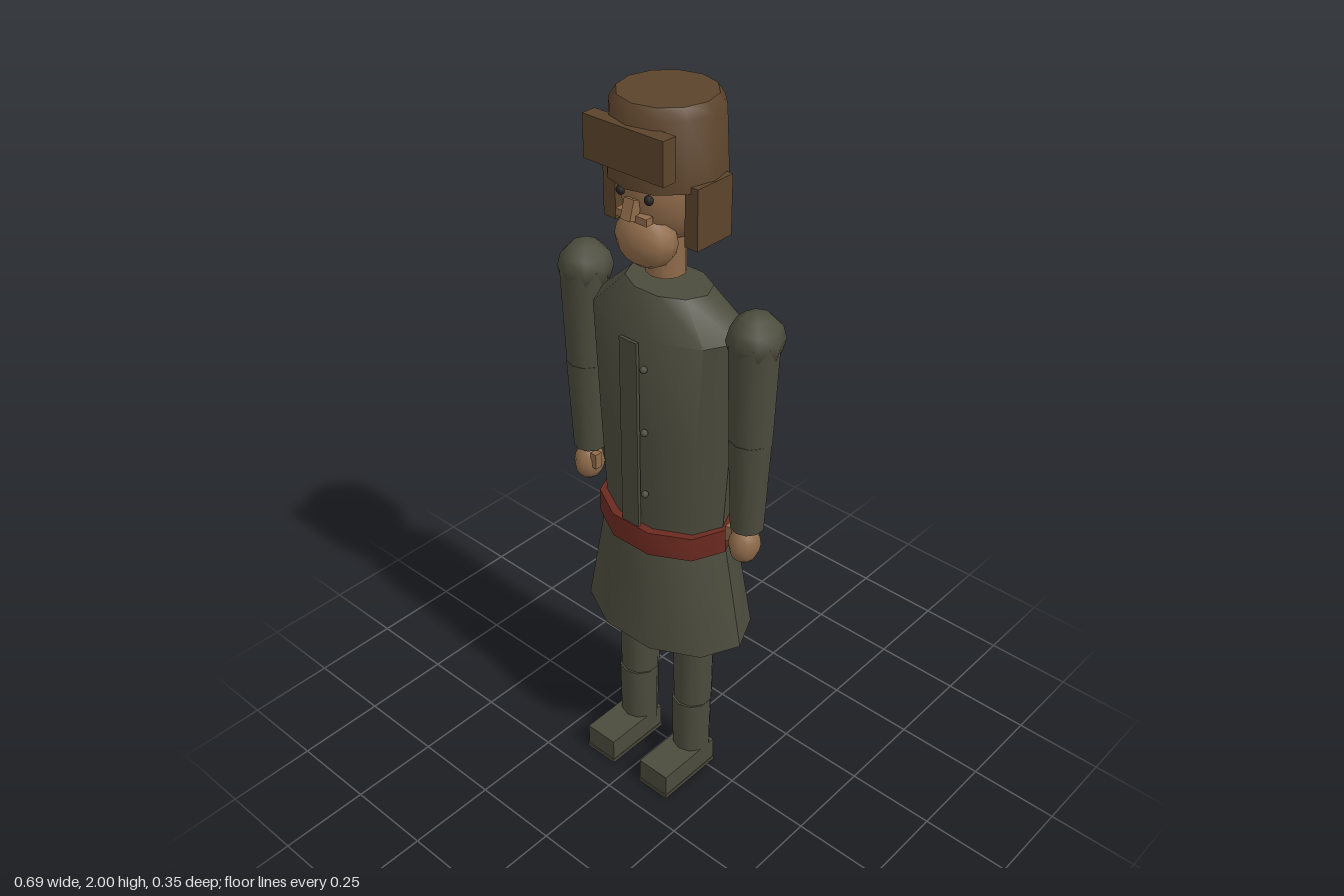
import * as THREE from 'three';
import { toCreasedNormals } from 'three/addons/utils/BufferGeometryUtils.js';

const material = (name, color, side = THREE.FrontSide) => {
  const m = new THREE.MeshStandardMaterial({ color, side });
  m.name = name;
  return m;
};

export function createModel() {
  const coat = material('coat green', 0x4b4b3d, THREE.DoubleSide);
  const fur = material('hat brown', 0x5c442c);
  const belt = material('belt red', 0x6b2a20);
  const skin = material('skin', 0x8f6b4a);
  const dark = material('eye dark', 0x25221f);
  const model = new THREE.Group();

  const add = (name, geometry, mat, x = 0, y = 0, z = 0) => {
    const mesh = new THREE.Mesh(geometry, mat);
    mesh.name = name;
    mesh.position.set(x, y, z);
    model.add(mesh);
    return mesh;
  };
  const box = (w, h, d) => new THREE.BoxGeometry(w, h, d);
  const ellipsoid = (rx, ry, rz, w = 12, h = 8) => new THREE.SphereGeometry(1, w, h).scale(rx, ry, rz);

  // Stacked elliptical rings [y, rx, rz], listed from bottom to top
  const loft = (rings, sides, start = Math.PI / 2) => {
    const g = new THREE.LatheGeometry(rings.map(([y]) => new THREE.Vector2(1, y)), sides, start);
    const p = g.attributes.position;
    for (let i = 0; i < p.count; i++) {
      const [, rx, rz] = rings[i % rings.length];
      p.setXYZ(i, p.getX(i) * rx, p.getY(i), p.getZ(i) * rz);
    }
    return toCreasedNormals(g, 0.75);
  };

  // Coat: torso with sloping shoulders, flared open skirt, belt
  add('coatBody', loft([
    [0.84, 0.183, 0.132], [1.15, 0.202, 0.136], [1.44, 0.22, 0.137],
    [1.53, 0.12, 0.085], [1.53, 0, 0],
  ], 10), coat, 0, 0, -0.005);
  add('coatSkirt', loft([[0.515, 0.253, 0.177], [0.84, 0.19, 0.14]], 10), coat, 0, 0, -0.008);
  add('belt', loft([
    [0.815, 0.17, 0.12], [0.815, 0.2, 0.15], [0.885, 0.2, 0.15], [0.885, 0.17, 0.12],
  ], 10), belt);
  add('frontPlacket', box(0.056, 0.56, 0.009), coat, -0.002, 1.145, 0.135);
  for (const y of [0.995, 1.18, 1.36]) {
    add('button', ellipsoid(0.01, 0.01, 0.01, 8, 6), coat, 0.045, y, 0.135);
  }

  // Head
  add('neck', new THREE.CylinderGeometry(0.05, 0.05, 0.14, 10), skin, 0, 1.63, 0.005);
  add('head', ellipsoid(0.108, 0.15, 0.125), skin, 0, 1.79, -0.006);
  add('jaw', ellipsoid(0.085, 0.07, 0.058), skin, 0, 1.667, 0.073);
  add('nose', box(0.03, 0.05, 0.028), skin, 0, 1.755, 0.122).rotation.x = -0.3;
  add('moustache', box(0.095, 0.018, 0.022), skin, 0, 1.735, 0.112);

  // Fur hat with a turned-up front flap
  add('hatCrown', loft([
    [1.81, 0, 0], [1.81, 0.142, 0.142], [1.975, 0.134, 0.134], [2, 0.117, 0.117], [2, 0, 0],
  ], 12, 0), fur);
  add('hatFrontFlap', box(0.24, 0.105, 0.04), fur, 0, 1.903, 0.127);

  // Mirrored parts
  for (const s of [1, -1]) {
    add('eye', ellipsoid(0.012, 0.012, 0.01, 8, 6), dark, s * 0.043, 1.785, 0.11);
    add('earFlap', box(0.038, 0.15, 0.118), fur, s * 0.126, 1.75, 0.003);

    add('shoulder', ellipsoid(0.07, 0.07, 0.073, 8, 6), coat, s * 0.274, 1.476, 0.002);
    add('upperArm', new THREE.CylinderGeometry(0.064, 0.055, 0.28, 10), coat, s * 0.274, 1.34, 0.006);
    add('forearm', new THREE.CylinderGeometry(0.055, 0.044, 0.265, 10), coat, s * 0.274, 1.075, 0.008);
    add('hand', ellipsoid(0.04, 0.054, 0.044, 10, 8), skin, s * 0.273, 0.89, 0.014);
    add('thumb', box(0.02, 0.045, 0.022), skin, s * 0.237, 0.912, 0.025);

    add('upperLeg', new THREE.CylinderGeometry(0.061, 0.055, 0.53, 10), coat, s * 0.101, 0.515, 0.005);
    add('bootShaft', new THREE.CylinderGeometry(0.056, 0.054, 0.22, 10), coat, s * 0.101, 0.145, 0.01);
    add('bootFoot', box(0.1, 0.07, 0.203), coat, s * 0.102, 0.045, 0.0735);
    add('bootSole', box(0.104, 0.012, 0.208), coat, s * 0.102, 0.006, 0.074);
  }
  return model;
}
